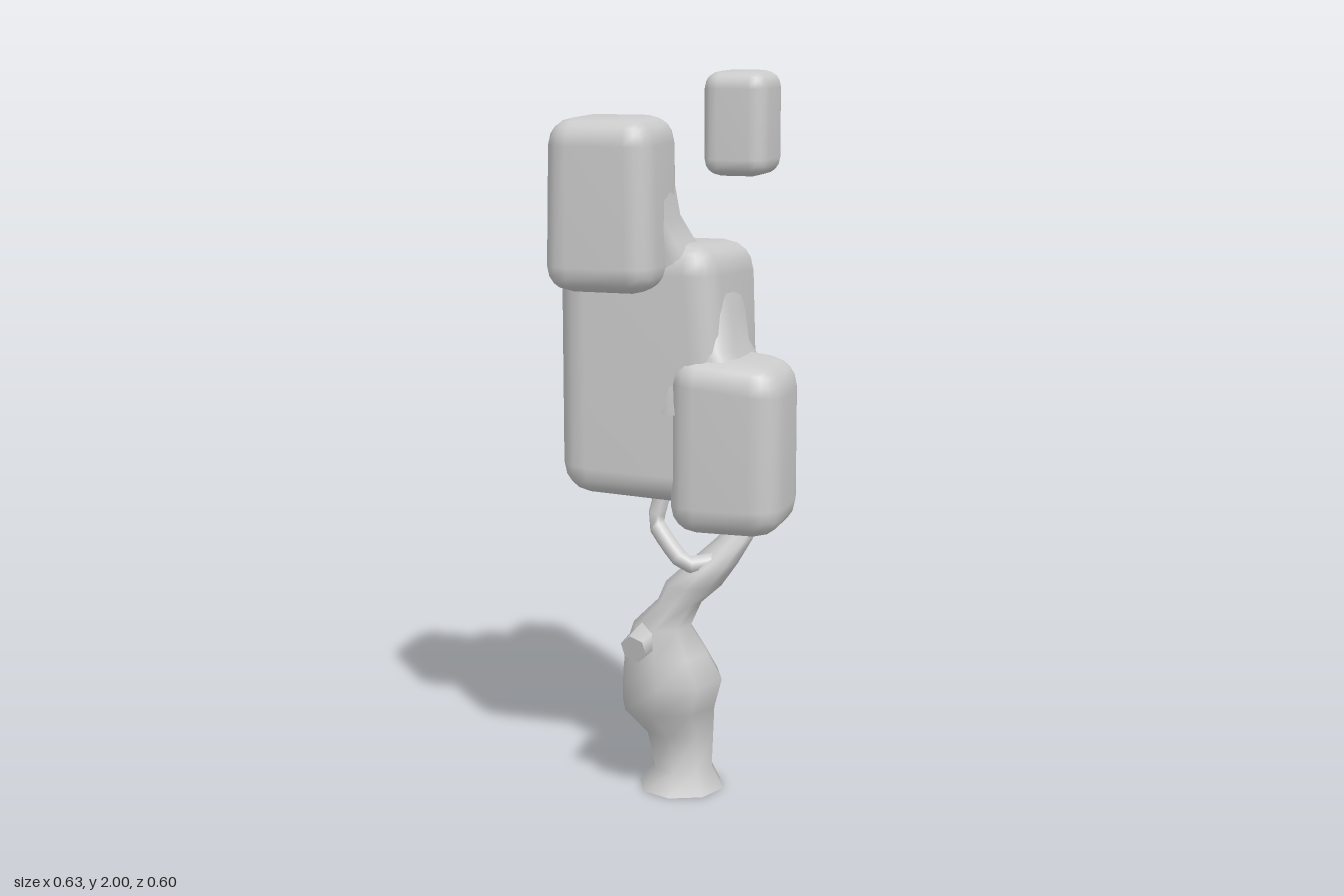
import * as THREE from 'three';
import { mergeVertices } from 'three/addons/utils/BufferGeometryUtils.js';
import { RoundedBoxGeometry } from 'three/addons/geometries/RoundedBoxGeometry.js';

const material = new THREE.MeshStandardMaterial({ color: 0xcccccc, side: THREE.DoubleSide });

function part(name, geometry) {
  const mesh = new THREE.Mesh(geometry, material);
  mesh.name = name;
  return mesh;
}

// Soft-edged block between two corners; warp moves each vertex.
function block(name, min, max, radius, warp) {
  const lo = new THREE.Vector3(...min), hi = new THREE.Vector3(...max);
  const size = hi.clone().sub(lo), mid = hi.clone().add(lo).multiplyScalar(0.5);
  let g = new RoundedBoxGeometry(size.x, size.y, size.z, 2, radius);
  g.translate(mid.x, mid.y, mid.z);
  g.deleteAttribute('normal');
  g.deleteAttribute('uv');
  g = mergeVertices(g, 1e-4);
  const p = g.attributes.position, v = new THREE.Vector3();
  for (let i = 0; i < p.count && warp; i++) {
    v.fromBufferAttribute(p, i);
    warp(v);
    p.setXYZ(i, v.x, v.y, v.z);
  }
  g.computeVertexNormals();
  return part(name, g);
}

// Skin over level rings [y, x0, x1, z0, z1]; power below 1 squares the rings.
function loft(name, rings, sides, power = 1) {
  const pos = [], index = [];
  const bend = (t) => Math.sign(t) * Math.abs(t) ** power;
  for (const [y, x0, x1, z0, z1] of rings) {
    for (let j = 0; j < sides; j++) {
      const a = (j / sides) * Math.PI * 2;
      pos.push((x0 + x1) / 2 + (x1 - x0) / 2 * bend(Math.cos(a)), y,
        (z0 + z1) / 2 + (z1 - z0) / 2 * bend(Math.sin(a)));
    }
  }
  for (let i = 0; i < rings.length - 1; i++) {
    for (let j = 0; j < sides; j++) {
      const a = i * sides + j, b = i * sides + (j + 1) % sides;
      index.push(a, a + sides, b, b, a + sides, b + sides);
    }
  }
  // Separate bottom cap keeps the lower edge sharp
  const base = pos.length / 3;
  pos.push(...pos.slice(0, sides * 3));
  for (let j = 1; j < sides - 1; j++) index.push(base, base + j, base + j + 1);
  const g = new THREE.BufferGeometry();
  g.setAttribute('position', new THREE.Float32BufferAttribute(pos, 3));
  g.setIndex(index);
  g.computeVertexNormals();
  return part(name, g);
}

export function createModel() {
  const tree = new THREE.Group();
  tree.name = 'tree';

  // Trunk swelling in the middle and leaning into one thick limb
  tree.add(loft('trunk', [
    [0, -0.13, 0.115, -0.125, 0.12],
    [0.06, -0.09, 0.08, -0.1, 0.085],
    [0.16, -0.12, 0.08, -0.12, 0.075],
    [0.24, -0.18, 0.09, -0.135, 0.14],
    [0.32, -0.18, 0.11, -0.15, 0.145],
    [0.4, -0.165, 0.075, -0.1, 0.14],
    [0.48, -0.135, 0.03, -0.05, 0.12],
    [0.55, -0.065, 0.06, -0.03, 0.09],
    [0.6, -0.045, 0.115, -0.055, 0.1],
    [0.66, 0.02, 0.155, -0.085, 0.085],
    [0.72, 0.085, 0.185, -0.105, 0.02],
    [0.78, 0.125, 0.205, -0.115, -0.035],
    [0.86, 0.13, 0.195, -0.115, -0.055],
    [0.95, 0.13, 0.17, -0.105, -0.06],
  ], 8));

  // Cut-off branch on the front of the trunk
  const stump = part('stump', new THREE.CylinderGeometry(0.04, 0.05, 0.12, 6));
  const stumpAxis = new THREE.Vector3(-0.02, -0.02, 0.1).normalize();
  stump.quaternion.setFromUnitVectors(new THREE.Vector3(0, 1, 0), stumpAxis);
  stump.position.set(-0.085, 0.448, 0.1);
  tree.add(stump);

  // Thin crooked twig
  const twigPath = new THREE.CatmullRomCurve3([
    [0.1, 0.67, 0.03], [0.03, 0.665, 0.075], [-0.02, 0.71, 0.06],
    [-0.07, 0.77, 0.04], [-0.06, 0.82, 0.03], [-0.05, 0.9, 0.02],
  ].map((p) => new THREE.Vector3(...p)), false, 'catmullrom', 0.2);
  tree.add(part('twig', new THREE.TubeGeometry(twigPath, 10, 0.025, 6)));

  // Foliage: big block with sloping top and bottom and a slanted side
  tree.add(block('mainFoliage', [-0.315, 0.85, -0.3], [0.155, 1.54, 0.165], 0.085, (v) => {
    const up = v.y > 1.2;
    v.y += up ? 0.07 * v.z + 0.005 : -0.05 * v.x - 0.05 * v.z;
    if (v.x > 0) v.x += 0.06 * v.z + (up ? -0.005 : 0.01);
    if (v.x > 0 && v.z > 0 && up) v.x -= 0.03;
  }));

  // Upper block, overhanging to the front
  tree.add(block('upperFoliage', [-0.302, 1.43, 0], [-0.002, 1.885, 0.3], 0.07, (v) => {
    const t = (v.y - 1.43) / 0.455;
    v.x = -0.152 + (v.x + 0.152) * (1.02 - 0.07 * t);
  }));
  tree.add(loft('upperFoliageBlend', [
    [1.4, -0.312, 0.09, -0.13, 0.16],
    [1.5, -0.312, 0.07, -0.09, 0.165],
    [1.555, -0.31, 0.035, -0.04, 0.18],
    [1.62, -0.302, 0.004, -0.01, 0.2],
    [1.74, -0.294, -0.012, 0.006, 0.24],
  ], 24, 0.45));

  // Low side block
  tree.add(block('sideFoliage', [0.0, 0.77, -0.11], [0.312, 1.25, 0.193], 0.08, (v) => {
    v.y -= v.y > 1 ? 0.1 * (v.x - 0.15) : 0;
    if (v.z < 0) v.z -= 0.08 * (0.2 - v.x);
  }));
  tree.add(loft('sideFoliageBlend', [
    [1.1, -0.06, 0.24, -0.13, 0.175],
    [1.2, -0.06, 0.215, -0.13, 0.165],
    [1.27, -0.07, 0.165, -0.14, 0.145],
    [1.36, -0.08, 0.15, -0.15, 0.12],
    [1.45, -0.09, 0.12, -0.15, 0.1],
  ], 24, 0.5));

  // Small detached block on top
  tree.add(block('smallFoliage', [0.065, 1.725, -0.125], [0.24, 2, 0.06], 0.045, (v) => {
    v.x += 0.05 * -v.z;
  }));

  return tree;
}
